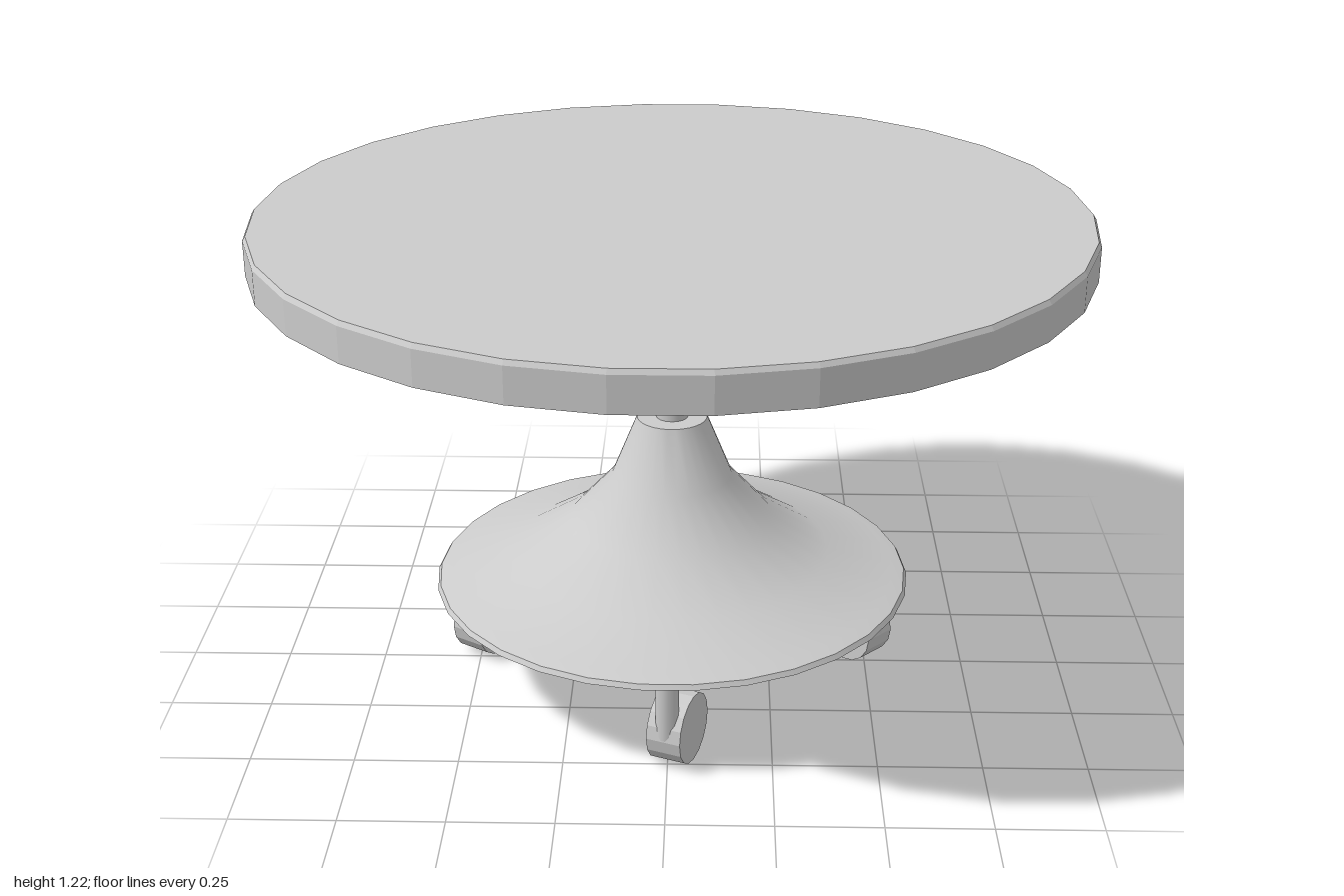
import * as THREE from 'three';
import { toCreasedNormals } from 'three/addons/utils/BufferGeometryUtils.js';

const grey = new THREE.MeshStandardMaterial({ color: 0xcccccc });

function add(parent, name, geometry, x = 0, y = 0, z = 0) {
  const mesh = new THREE.Mesh(geometry, grey);
  mesh.name = name;
  mesh.position.set(x, y, z);
  parent.add(mesh);
  return mesh;
}

// Turned part from [radius, height] pairs, bottom to top
function turned(profile, crease) {
  const points = profile.map(([r, y]) => new THREE.Vector2(r, y));
  return toCreasedNormals(new THREE.LatheGeometry(points, 30, Math.PI / 2), crease);
}

// Swivelling caster: the wheel trails behind the stem (local -z), axle along local x
function caster(name, x, z, swivel) {
  const group = new THREE.Group();
  group.name = name;
  group.position.set(x, 0, z);
  group.rotation.y = swivel;
  add(group, 'casterStem', new THREE.CylinderGeometry(0.028, 0.028, 0.18, 12), 0, 0.18, 0);
  const wheel = toCreasedNormals(new THREE.CylinderGeometry(0.087, 0.087, 0.086, 16).rotateZ(Math.PI / 2), 0.2);
  add(group, 'casterWheel', wheel, 0, 0.087, -0.06);
  return group;
}

export function createModel() {
  const table = new THREE.Group();
  table.name = 'roundTable';

  // Faceted round top with a fine bevel on the upper edge
  add(table, 'tableTop', turned([[0, 1.12], [1, 1.12], [1, 1.204], [0.993, 1.215], [0, 1.215]], 0.1));

  // Central column
  add(table, 'column', new THREE.CylinderGeometry(0.04, 0.04, 0.48, 16), 0, 0.89, 0);

  // Flared trumpet base with a thin lip
  add(table, 'base', turned([
    [0, 0.26], [0.597, 0.26], [0.59, 0.272], [0.56, 0.282], [0.395, 0.328],
    [0.257, 0.417], [0.15, 0.535], [0.087, 0.69], [0, 0.69],
  ], 0.45));

  // Four casters, each swivelled its own way
  table.add(
    caster('leftCaster', 0.517, 0, 0.785),
    caster('rightCaster', -0.517, 0, -0.56),
    caster('frontCaster', 0, 0.517, -0.38),
    caster('backCaster', 0, -0.517, 1.16),
  );
  return table;
}
